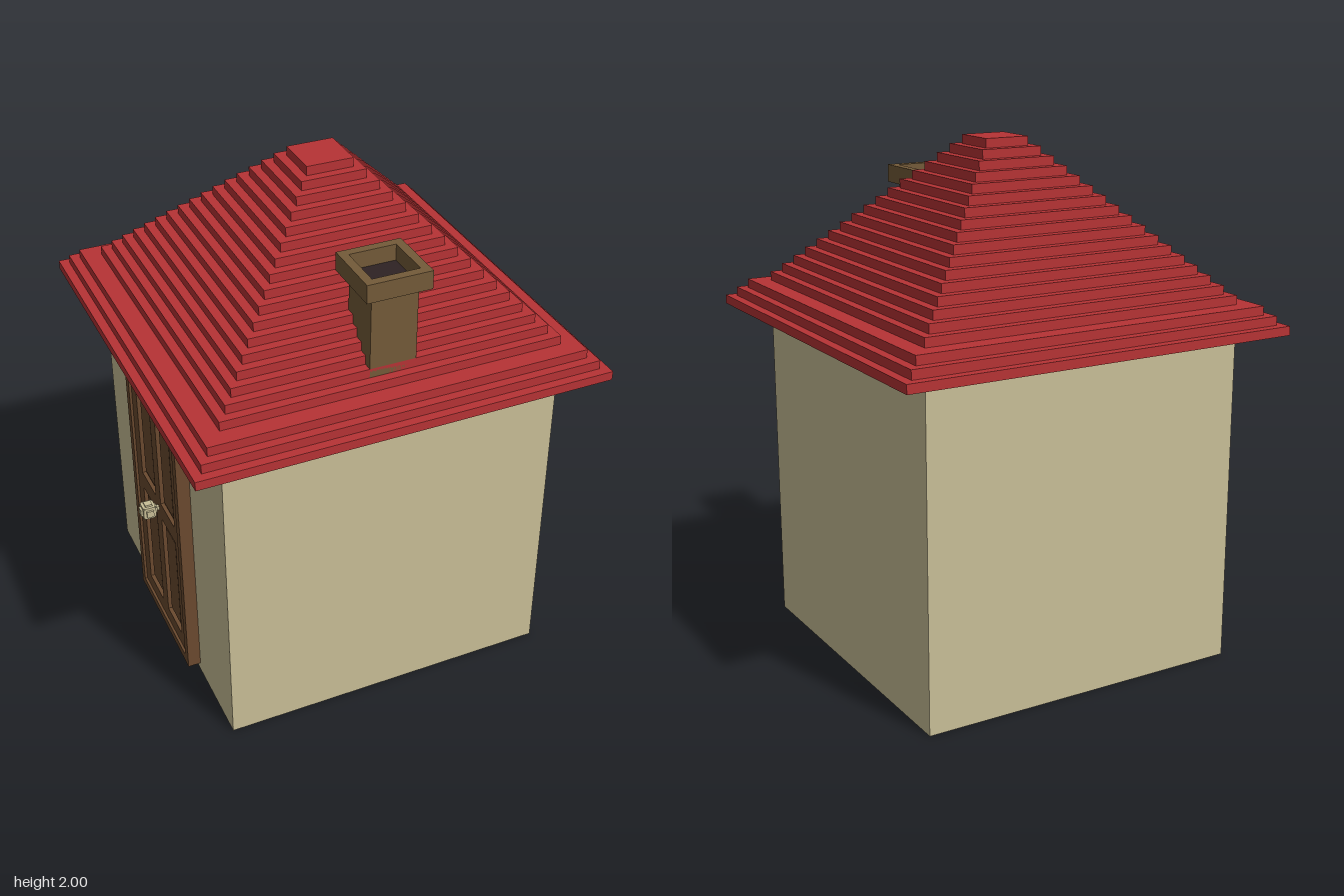
import * as THREE from 'three';

const mat = (name, color) => {
  const m = new THREE.MeshStandardMaterial({ color });
  m.name = name;
  return m;
};

export function createModel() {
  const plaster = mat('cream plaster', 0xc9bf97);
  const tile = mat('red tile', 0xb73335);
  const stone = mat('brown stone', 0x745b39);
  const wood = mat('door wood', 0x6b4a2f);
  const soot = mat('dark soot', 0x2e2324);

  const house = new THREE.Group();
  house.name = 'house';
  const group = (name) => {
    const g = new THREE.Group();
    g.name = name;
    house.add(g);
    return g;
  };
  // Box given by its minimum and maximum along each axis
  const box = (parent, name, material, [x0, x1], [y0, y1], [z0, z1]) => {
    const mesh = new THREE.Mesh(new THREE.BoxGeometry(x1 - x0, y1 - y0, z1 - z0), material);
    mesh.position.set((x0 + x1) / 2, (y0 + y1) / 2, (z0 + z1) / 2);
    mesh.name = name;
    parent.add(mesh);
  };

  box(house, 'walls', plaster, [-0.65, 0.65], [0, 1.3], [-0.65, 0.65]);

  // Stepped pyramid roof: three flared eave courses, then an even slope
  const roof = group('roof');
  const step = 0.035;
  for (let i = 0; i < 20; i++) {
    const h = i < 3 ? 0.79 - i * step : 0.65 - (i - 3) * step;
    box(roof, 'roofCourse', tile, [-h, h], [1.3 + i * step, 1.3 + (i + 1) * step], [-h, h]);
  }

  // Chimney with a hollow cap
  const chimney = group('chimney');
  box(chimney, 'chimneyShaft', stone, [-0.088, 0.088], [1.38, 1.76], [0.44, 0.615]);
  const [c0, c1, w] = [0.405, 0.65, 0.033];
  for (const z of [c0, c1 - w]) box(chimney, 'chimneyCap', stone, [-0.122, 0.122], [1.76, 1.83], [z, z + w]);
  for (const x of [-0.122, 0.122 - w]) box(chimney, 'chimneyCap', stone, [x, x + w], [1.76, 1.83], [c0 + w, c1 - w]);
  box(chimney, 'flue', soot, [-0.089, 0.089], [1.76, 1.768], [c0 + w, c1 - w]);

  // Door on the right side: frame, leaf and four recessed panels
  const door = group('door');
  const [z0, z1, y0, y1] = [-0.27, 0.295, 0.035, 1.23];
  const mid = (z0 + z1) / 2;
  const rim = 0.035;
  for (const z of [z0, z1 - rim]) box(door, 'doorFrame', wood, [-0.7, -0.65], [y0, y1], [z, z + rim]);
  for (const y of [y0, y1 - rim]) box(door, 'doorFrame', wood, [-0.7, -0.65], [y, y + rim], [z0 + rim, z1 - rim]);
  box(door, 'doorLeaf', wood, [-0.675, -0.65], [y0 + rim, y1 - rim], [z0 + rim, z1 - rim]);
  const [a0, a1] = [z0 + rim, z1 - rim];
  for (const z of [a0, mid - 0.03, a1 - 0.06])
    box(door, 'doorStile', wood, [-0.69, -0.675], [y0 + rim, y1 - rim], [z, z + 0.06]);
  const bays = [[a0 + 0.06, mid - 0.03], [mid + 0.03, a1 - 0.06]];
  for (const [b0, b1] of bays) {
    for (const [r0, r1] of [[0.07, 0.13], [0.595, 0.67], [1.135, 1.195]])
      box(door, 'doorRail', wood, [-0.69, -0.675], [r0, r1], [b0, b1]);
    for (const [p0, p1] of [[0.13, 0.595], [0.67, 1.135]])
      box(door, 'doorPanel', wood, [-0.683, -0.675], [p0 + 0.025, p1 - 0.025], [b0 + 0.025, b1 - 0.025]);
  }

  // Knob: blocky ball made of three crossed slabs and a core, on a short stem
  const knob = group('doorKnob');
  const ball = [[0.033, 0.014, 0.014], [0.014, 0.033, 0.014], [0.014, 0.014, 0.033],
    [0.025, 0.025, 0.02], [0.025, 0.02, 0.025], [0.02, 0.025, 0.025]];
  for (const [x, y, z] of ball)
    box(knob, 'knobBlock', plaster, [-0.733 - x, -0.733 + x], [0.633 - y, 0.633 + y], [mid - z, mid + z]);
  box(knob, 'knobStem', plaster, [-0.71, -0.685], [0.625, 0.641], [mid - 0.008, mid + 0.008]);

  return house;
}
